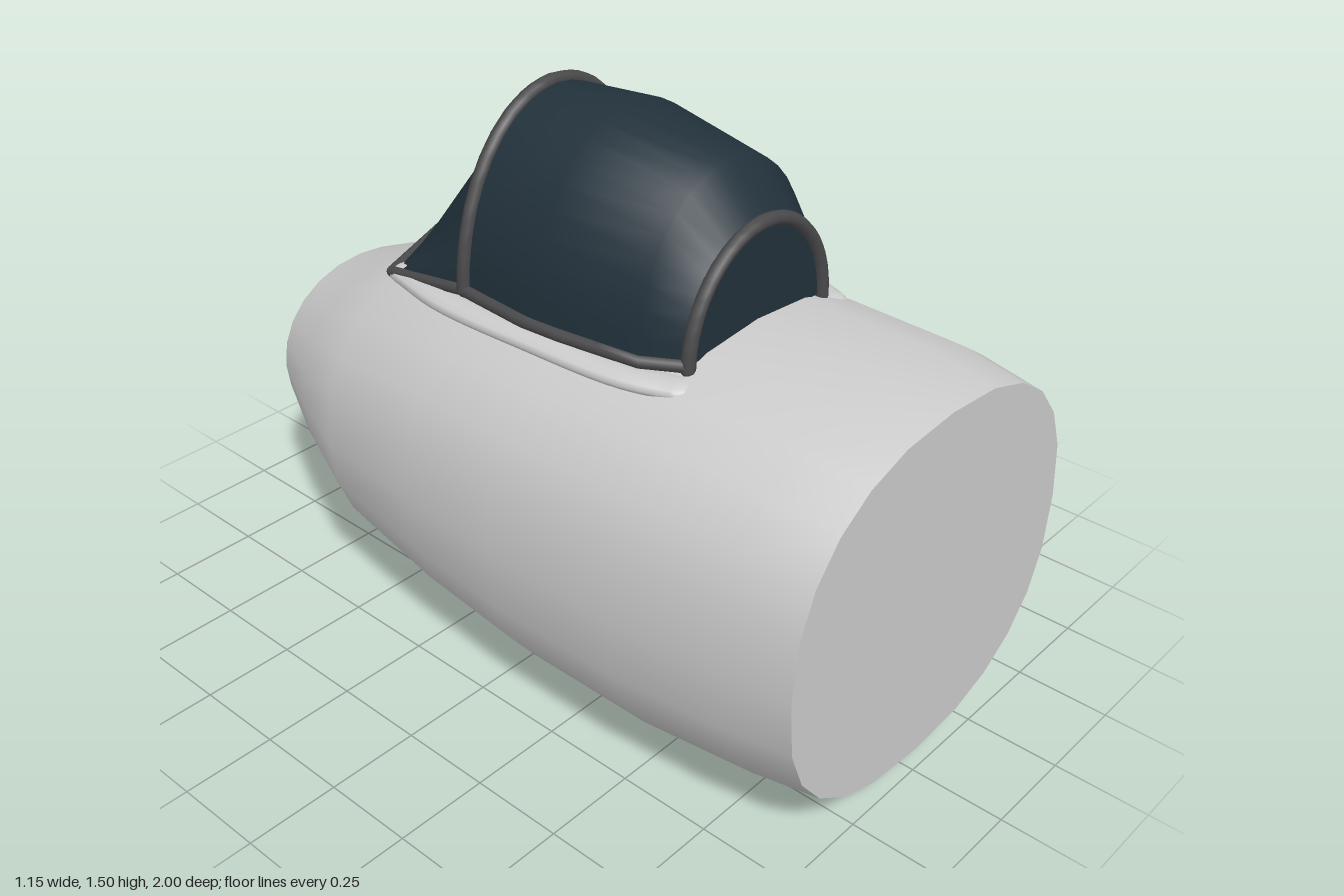
import * as THREE from 'three';

const V = (x, y, z) => new THREE.Vector3(x, y, z);
const grey = new THREE.MeshStandardMaterial({ color: 0xcccccc });
const glass = new THREE.MeshStandardMaterial({ color: 0x22313b, side: THREE.DoubleSide });
const metal = new THREE.MeshStandardMaterial({ color: 0x4a4a4c });

// Skin over a list of point rings; closed rings wrap round
function loft(rings, closed) {
  const n = rings[0].length, index = [];
  for (let i = 0; i < rings.length - 1; i++) {
    for (let j = 0; j < (closed ? n : n - 1); j++) {
      const k = (j + 1) % n;
      const a = i * n + j, b = i * n + k, c = a + n, d = b + n;
      index.push(a, b, c, b, d, c);
    }
  }
  const g = new THREE.BufferGeometry().setFromPoints(rings.flat());
  g.setIndex(index);
  g.computeVertexNormals();
  return g;
}

// Half ellipse from +x over the top to -x
const arch = (w, base, top, z, n = 20) => Array.from({ length: n + 1 }, (_, i) => {
  const a = Math.PI * i / n;
  return V(w * Math.cos(a), base + (top - base) * Math.sin(a), z);
});

// Superellipse section of the hull
function hullRing([z, w, lo, hi, p]) {
  const pw = v => Math.sign(v) * Math.pow(Math.abs(v), p);
  return Array.from({ length: 24 }, (_, i) => {
    const a = i * Math.PI / 12;
    return V(w * pw(Math.cos(a)), (lo + hi) / 2 + (hi - lo) / 2 * pw(Math.sin(a)), z);
  });
}

export function createModel() {
  const model = new THREE.Group();
  const add = (name, geo, mat, parent = model) => {
    const m = new THREE.Mesh(geo, mat);
    m.name = name;
    parent.add(m);
    return m;
  };

  // Fuselage: z, half width, bottom, top, roundness
  const rings = [
    [-1, 0.3, 0.25, 0.75, 0.95], [-0.8, 0.4, 0.17, 0.83, 0.9], [-0.56, 0.5, 0.09, 0.945, 0.86],
    [-0.2, 0.55, 0.035, 1.02, 0.84], [0.12, 0.572, 0.003, 1.055, 0.84], [0.5, 0.575, 0.003, 1.065, 0.84],
    [0.82, 0.56, 0.04, 1.06, 0.84], [1, 0.535, 0.07, 1.03, 0.84],
  ].map(hullRing);
  add('fuselage', loft(rings, true), grey);
  const cap = ring => new THREE.ShapeGeometry(new THREE.Shape(ring.map(p => new THREE.Vector2(p.x, p.y))));
  add('frontCap', cap(rings.at(-1)), grey).position.z = 1;
  const backCap = add('backCap', cap(rings[0]), grey);
  backCap.position.z = -1;
  backCap.rotation.y = Math.PI;

  // Canopy bubble and its flat end pane
  const bubble = [
    arch(0.315, 1.03, 1.48, -0.2), arch(0.34, 1.035, 1.5, 0.06),
    arch(0.31, 1.04, 1.44, 0.36), arch(0.25, 1.04, 1.31, 0.46),
  ];
  add('canopyBubble', loft(bubble, false), glass);
  add('canopyEndPane', cap(bubble[3]), glass).position.z = 0.46;

  // Pointed windscreen, leaving a small opening low on the left
  const sillPoint = x => V(x, 1 - 0.1 * Math.abs(x), -0.585 + 0.29 * Math.abs(x));
  const foot = bubble[0].map((_, i) => {
    const s = 1 - i / 10;
    return sillPoint(s > 0 ? 0.2 * s : 0.295 * s);
  });
  add('windscreen', loft([foot, bubble[0]], false), glass);

  // Canopy frame
  const frame = new THREE.Group();
  frame.name = 'canopyFrame';
  model.add(frame);
  const rod = (name, pts, r) => {
    const path = new THREE.CurvePath();
    for (let i = 0; i < pts.length - 1; i++) path.add(new THREE.LineCurve3(pts[i], pts[i + 1]));
    add(name, new THREE.TubeGeometry(path, (pts.length - 1) * 2, r, 8), metal, frame);
    for (const p of [pts[0], pts.at(-1)]) {
      add(name + 'End', new THREE.SphereGeometry(r, 8, 6), metal, frame).position.copy(p);
    }
  };
  rod('mainHoop', arch(0.32, 1.03, 1.485, -0.2), 0.018);
  rod('endHoop', arch(0.25, 1.03, 1.312, 0.46), 0.018);
  rod('centreStrut', [V(0, 1.48, -0.2), sillPoint(0)], 0.014);
  for (const s of [1, -1]) {
    const side = [V(0.25, 1.04, 0.46), V(0.31, 1.04, 0.36), V(0.345, 1.035, 0.06), V(0.32, 1.03, -0.2)]
      .map(p => p.setX(p.x * s));
    rod('sideRail', side, 0.016);
    rod('windscreenSideRail', [side[3], sillPoint(0.295 * s)], 0.015);
    rod('windscreenFrontRail', [sillPoint(0.295 * s), sillPoint(0)], 0.015);
  }

  // Flattened rim along each side of the canopy
  for (const s of [1, -1]) {
    const path = [
      V(0.285, 1.0, 0.46), V(0.325, 1.0, 0.34), V(0.343, 0.998, 0.05),
      V(0.33, 0.985, -0.25), V(0.27, 0.967, -0.47),
    ].map(p => V(p.x * s, p.y * 2, p.z));
    const geo = new THREE.TubeGeometry(new THREE.CatmullRomCurve3(path), 24, 0.046, 12);
    add('canopyRim', geo.scale(1, 0.5, 1), grey);
    for (const p of [path[0], path[4]]) {
      add('canopyRimEnd', new THREE.SphereGeometry(0.046, 12, 8).scale(1, 0.5, 1), grey)
        .position.set(p.x, p.y / 2, p.z);
    }
  }
  return model;
}
